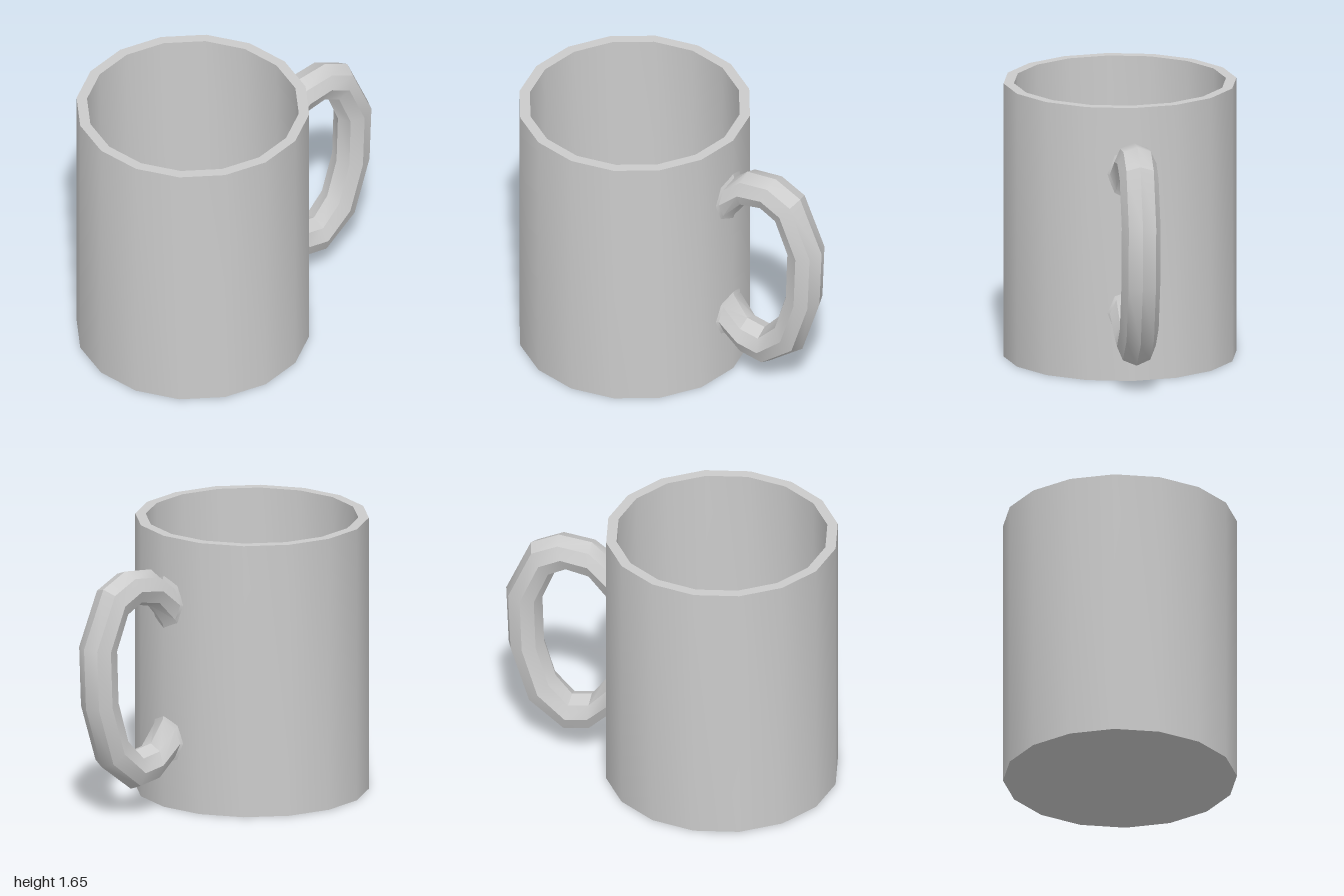
import * as THREE from 'three';
import { toCreasedNormals } from 'three/addons/utils/BufferGeometryUtils.js';

const CUP_X = -0.31, R = 0.69, R_IN = 0.628, H = 1.655, FLOOR = 0.06;

// Skin closed rings of equal length, running along the path
function loft(rings) {
  const n = rings[0].length, index = [];
  for (let i = 0; i < rings.length - 1; i++) {
    for (let j = 0; j < n; j++) {
      const k = (j + 1) % n;
      const a = i * n + j, b = i * n + k, c = a + n, d = b + n;
      index.push(a, b, c, b, d, c);
    }
  }
  const geo = new THREE.BufferGeometry();
  geo.setAttribute('position', new THREE.Float32BufferAttribute(rings.flat(2), 3));
  geo.setIndex(index);
  return geo;
}

export function createModel() {
  const group = new THREE.Group();
  const material = new THREE.MeshStandardMaterial({ color: 0xcccccc });
  const add = (name, geometry) => {
    const mesh = new THREE.Mesh(toCreasedNormals(geometry, 0.6), material);
    mesh.name = name;
    group.add(mesh);
  };

  // Sixteen-sided hollow cup: base, outer wall, rim, inner wall, floor
  const profile = [[0, 0], [R, 0], [R, H], [R_IN, H], [R_IN, FLOOR], [0, FLOOR]]
    .map(([x, y]) => new THREE.Vector2(x, y));
  add('cup', new THREE.LatheGeometry(profile, 16).translate(CUP_X, 0, 0));

  // Handle sections from top to bottom: outer x, y, inner x, y, half width, hug.
  // hug = 1 bends a section to follow the cup wall where the handle flares out.
  const sections = [
    [0.368, 1.45, 0.368, 1.05, 0.165, 1],
    [0.388, 1.385, 0.388, 1.12, 0.13, 1],
    [0.48, 1.468, 0.48, 1.245, 0.115, 0],
    [0.68, 1.49, 0.61, 1.275, 0.115, 0],
    [0.85, 1.41, 0.705, 1.225, 0.115, 0],
    [1.0, 1.07, 0.78, 1.04, 0.115, 0],
    [0.985, 0.70, 0.77, 0.73, 0.115, 0],
    [0.865, 0.33, 0.70, 0.50, 0.115, 0],
    [0.635, 0.155, 0.60, 0.385, 0.115, 0],
    [0.48, 0.18, 0.48, 0.405, 0.115, 0],
    [0.388, 0.285, 0.388, 0.53, 0.13, 1],
    [0.368, 0.23, 0.368, 0.59, 0.165, 1],
  ];
  const rings = sections.map(([ox, oy, ix, iy, halfWidth, hug]) =>
    Array.from({ length: 8 }, (_, j) => {
      const c = Math.cos(j * Math.PI / 4), z = Math.sin(j * Math.PI / 4) * halfWidth;
      return [
        (ox + ix) / 2 + c * (ox - ix) / 2 - hug * 0.2 * Math.abs(z),
        (oy + iy) / 2 + c * (oy - iy) / 2,
        z,
      ];
    }));
  add('handle', loft(rings));

  return group;
}
